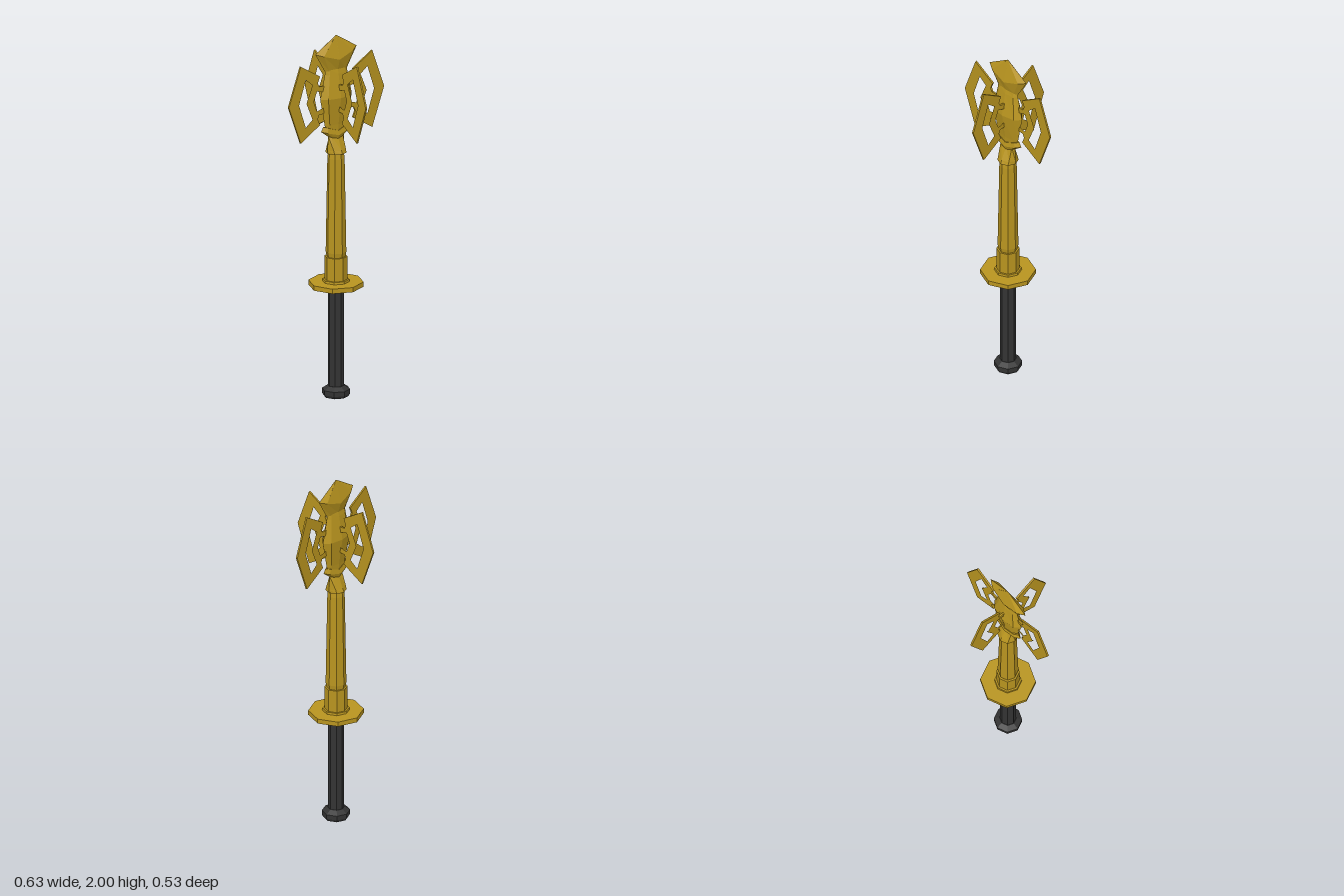
import * as THREE from 'three';

const gold = new THREE.MeshStandardMaterial({ color: 0xb8941f, flatShading: true });
const dark = new THREE.MeshStandardMaterial({ color: 0x333333, flatShading: true });

// Eight-sided loft through rings [y, halfWidthX, halfDepthZ, rise of the x ends]
function loft(rings, n = 8) {
  const pos = [], idx = [];
  for (const [y, hx, hz = hx, rise = 0] of rings) {
    for (let i = 0; i < n; i++) {
      const a = (i / n) * Math.PI * 2;
      pos.push(hx * Math.cos(a), y + rise * Math.abs(Math.cos(a)), hz * Math.sin(a));
    }
  }
  const last = (rings.length - 1) * n;
  const bottom = pos.length / 3, top = bottom + 1;
  pos.push(0, rings[0][0], 0, 0, rings[rings.length - 1][0], 0);
  for (let i = 0; i < n; i++) {
    const j = (i + 1) % n;
    for (let r = 0; r < last; r += n) {
      idx.push(r + i, r + n + i, r + n + j, r + i, r + n + j, r + j);
    }
    idx.push(bottom, i, j, top, last + j, last + i);
  }
  const g = new THREE.BufferGeometry();
  g.setAttribute('position', new THREE.Float32BufferAttribute(pos, 3));
  g.setIndex(idx);
  const flat = g.toNonIndexed();
  flat.computeVertexNormals();
  return flat;
}

// Closed outline mirrored about the blade's middle height
const MID = 1.657;
function mirrored(points) {
  const lower = points.filter(([, dy]) => dy !== 0).reverse().map(([x, dy]) => [x, -dy]);
  return [...points, ...lower].map(([x, dy]) => new THREE.Vector2(x, MID + dy));
}

// Pierced blade lying in the xy plane, pointing to +x
function bladeGeometry() {
  const shape = new THREE.Shape(mirrored([
    [0.06, 0.075], [0.115, 0.078], [0.125, 0.1], [0.11, 0.135], [0.238, 0.213], [0.317, 0],
  ]));
  // crescent opening
  const crescent = [[0.205, 0.132], [0.25, 0], [0.205, -0.132], [0.16, -0.096], [0.2, 0], [0.16, 0.096]];
  shape.holes.push(new THREE.Path(crescent.map(([x, dy]) => new THREE.Vector2(x, MID + dy))));
  // small opening beside the body
  shape.holes.push(new THREE.Path(mirrored([[0.08, 0.042], [0.13, 0.056], [0.152, 0]])));
  const g = new THREE.ExtrudeGeometry(shape, { depth: 0.01, bevelEnabled: false });
  g.translate(0, 0, -0.005);
  return g;
}

export function createModel() {
  const model = new THREE.Group();
  const add = (name, geometry, material = gold) => {
    const mesh = new THREE.Mesh(geometry, material);
    mesh.name = name;
    model.add(mesh);
    return mesh;
  };

  // Handle
  add('pommel', loft([[0, 0.066], [0.015, 0.075], [0.04, 0.075], [0.06, 0.045]]), dark);
  add('grip', loft([[0.05, 0.043], [0.59, 0.043]]), dark);

  // Guard and shaft
  add('guardLowerRing', loft([[0.585, 0.05], [0.597, 0.05], [0.597, 0.067], [0.612, 0.067]]));
  add('guard', loft([[0.61, 0.147], [0.636, 0.147]]));
  add('guardUpperRing', loft([[0.636, 0.073], [0.648, 0.071]]));
  add('collar', loft([[0.645, 0.061], [0.775, 0.061]]));
  add('shaft', loft([[0.77, 0.05], [0.8, 0.055], [1.32, 0.046], [1.35, 0.042]]));

  // Head
  add('neck', loft([[1.35, 0.056], [1.37, 0.056, 0.048], [1.45, 0.053, 0.012]]));
  add('crest', loft([
    [1.43, 0.045, 0.02, 0.01], [1.45, 0.1, 0.027, 0.03], [1.475, 0.085, 0.022, 0.03],
  ]));
  add('body', loft([
    [1.46, 0.055, 0.018], [1.51, 0.075, 0.022], [1.66, 0.105, 0.045], [1.79, 0.075, 0.022], [1.82, 0.07, 0.015],
  ]));
  add('crown', loft([
    [1.81, 0.075, 0.015], [1.87, 0.137, 0.033, 0.045], [2, 0.001, 0.001],
  ]));

  // Four blades; the front and back pair sit deeper in the thinner body
  const blade = bladeGeometry();
  ['leftBlade', 'backBlade', 'rightBlade', 'frontBlade'].forEach((name, i) => {
    const inset = i % 2 ? 0.053 : 0;
    const angle = (i * Math.PI) / 2;
    const mesh = add(name, blade);
    mesh.rotation.y = angle;
    mesh.position.set(-inset * Math.cos(angle), 0, inset * Math.sin(angle));
  });

  return model;
}
